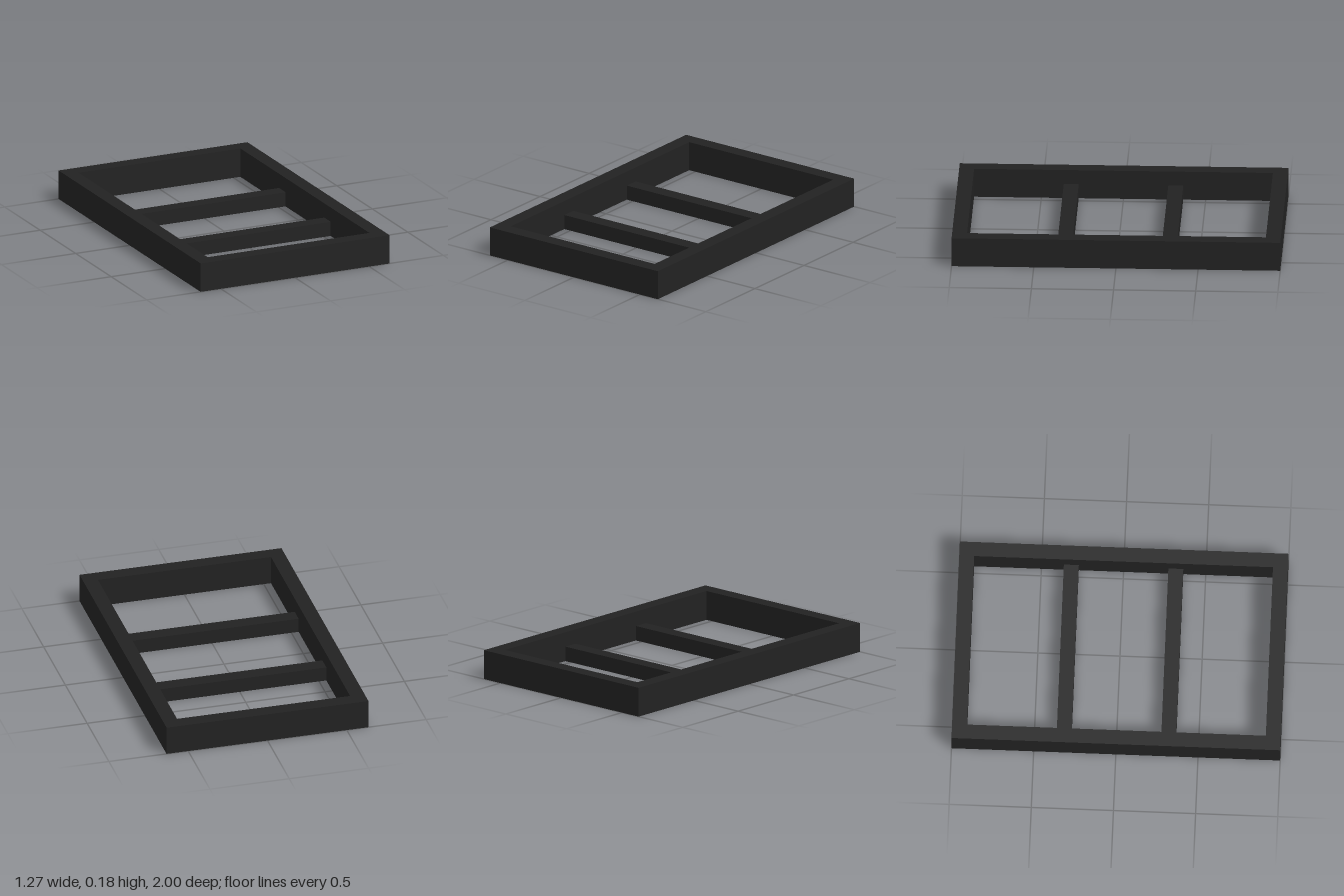
import * as THREE from 'three';

export function createModel() {
  const model = new THREE.Group();
  model.name = 'frame';
  const black = new THREE.MeshStandardMaterial({ color: 0x222222 });
  black.name = 'black';

  const T = 1 / 11;          // beam thickness
  const H = 2 * T;           // frame height
  const X = 7 * T, Z = 1;    // half width and half length

  // Rectangular outer frame with one opening
  const rect = (P, x, z) => {
    const p = new P();
    p.moveTo(-x, -z).lineTo(x, -z).lineTo(x, z).lineTo(-x, z).closePath();
    return p;
  };
  const outline = rect(THREE.Shape, X, Z);
  outline.holes.push(rect(THREE.Path, X - T, Z - T));
  const rimGeometry = new THREE.ExtrudeGeometry(outline, { depth: H, bevelEnabled: false });
  rimGeometry.rotateX(-Math.PI / 2);
  const rim = new THREE.Mesh(rimGeometry, black);
  rim.name = 'outerFrame';
  model.add(rim);

  // Two half-height cross bars, flush with the underside
  const barGeometry = new THREE.BoxGeometry(2 * (X - T), T, T);
  for (const [name, side] of [['frontCrossBar', 1], ['backCrossBar', -1]]) {
    const bar = new THREE.Mesh(barGeometry, black);
    bar.name = name;
    bar.position.set(0, T / 2, side * 0.318);
    model.add(bar);
  }
  return model;
}
